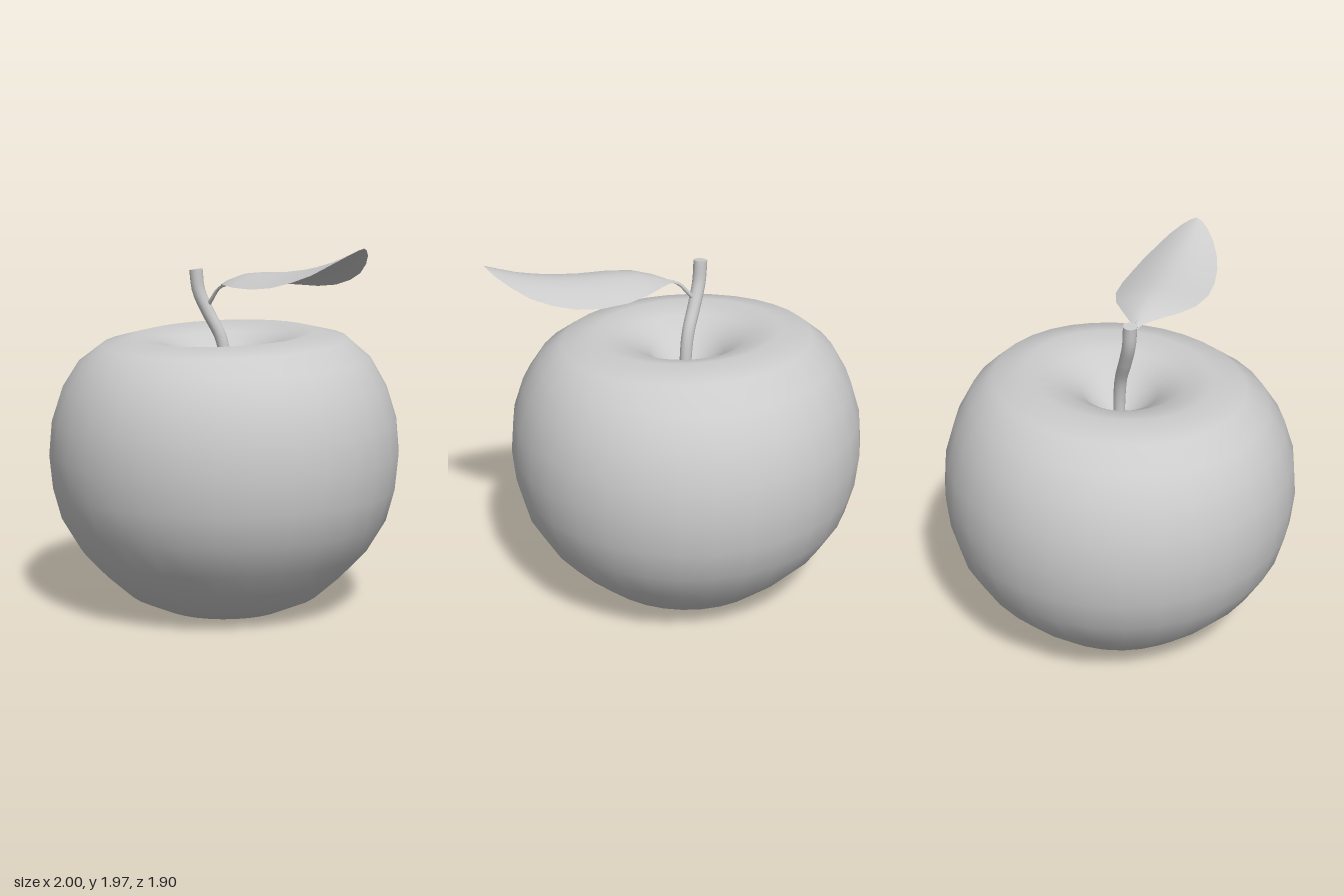
import * as THREE from 'three';

const V = (x, y, z) => new THREE.Vector3(x, y, z);
const grey = new THREE.MeshStandardMaterial({ color: 0xcccccc });
const greyThin = new THREE.MeshStandardMaterial({ color: 0xcccccc, side: THREE.DoubleSide });

function part(name, geometry, material = grey) {
  const mesh = new THREE.Mesh(geometry, material);
  mesh.name = name;
  return mesh;
}

// Lathed fruit with a dimple at each end; the crown tilts up towards the back.
function fruitGeometry() {
  const profile = [
    [0, 0.12], [0.08, 0.1], [0.2, 0.035], [0.365, 0], [0.53, 0.075], [0.67, 0.2],
    [0.79, 0.33], [0.89, 0.5], [0.935, 0.67], [0.952, 0.85], [0.935, 1.035],
    [0.88, 1.205], [0.79, 1.355], [0.665, 1.455], [0.49, 1.495], [0.33, 1.455],
    [0.2, 1.38], [0.1, 1.26], [0, 1.2],
  ].map(([r, y]) => new THREE.Vector2(r, y));
  const geo = new THREE.LatheGeometry(profile, 32);
  const p = geo.attributes.position;
  for (let i = 0; i < p.count; i++) {
    const y = p.getY(i);
    const amount = THREE.MathUtils.clamp((y - 0.85) / 0.65, 0, 1) ** 3;
    p.setY(i, y - amount * (0.07 * p.getZ(i) + 0.02 * p.getX(i)));
  }
  geo.translate(-0.05, 0, 0);
  return geo;
}

// Tube whose radius runs from r0 to r1 along the curve, optionally capped at its end.
function taperedTube(points, r0, r1, steps, sides) {
  const curve = new THREE.CatmullRomCurve3(points);
  const geo = new THREE.TubeGeometry(curve, steps, 1, sides);
  const p = geo.attributes.position;
  const v = V(0, 0, 0);
  for (let i = 0; i < p.count; i++) {
    const t = Math.floor(i / (sides + 1)) / steps;
    const c = curve.getPointAt(t);
    v.fromBufferAttribute(p, i).sub(c).multiplyScalar(r0 + (r1 - r0) * t).add(c);
    p.setXYZ(i, v.x, v.y, v.z);
  }
  return geo;
}

// Leaf blade: stations along x give midrib height, half width and droop of the edges.
function leafGeometry() {
  const stations = [
    [-0.03, 1.735, 0.008, 0], [0.03, 1.765, 0.035, 0.008], [0.1, 1.797, 0.1, 0.03],
    [0.2, 1.825, 0.18, 0.055], [0.32, 1.835, 0.228, 0.072], [0.47, 1.84, 0.245, 0.08],
    [0.6, 1.855, 0.238, 0.083], [0.72, 1.877, 0.215, 0.075], [0.82, 1.902, 0.178, 0.062],
    [0.9, 1.93, 0.13, 0.04], [0.96, 1.952, 0.075, 0.018], [0.99, 1.965, 0.03, 0.004],
    [1.0, 1.97, 0.002, 0],
  ];
  const across = 10;
  const geo = new THREE.PlaneGeometry(1, 1, across, stations.length - 1);
  const p = geo.attributes.position;
  stations.forEach(([x, y, half, droop], row) => {
    for (let k = 0; k <= across; k++) {
      const s = (2 * k) / across - 1;
      p.setXYZ(row * (across + 1) + k, x, y - droop * Math.abs(s) ** 1.7, 0.063 - half * s);
    }
  });
  // Reverse the winding so that the upper side is the front.
  const n = geo.index;
  for (let i = 0; i < n.count; i += 3) {
    const b = n.getX(i + 1);
    n.setX(i + 1, n.getX(i + 2));
    n.setX(i + 2, b);
  }
  geo.computeVertexNormals();
  // Keep the upper side facing up whichever way the rows run.
  if (geo.attributes.normal.getY(5 * (across + 1) + across / 2) < 0) {
    for (let i = 0; i < n.count; i += 3) {
      const b = n.getX(i + 1);
      n.setX(i + 1, n.getX(i + 2));
      n.setX(i + 2, b);
    }
    geo.computeVertexNormals();
  }
  return geo;
}

export function createModel() {
  const model = new THREE.Group();
  model.name = 'apple';

  model.add(part('fruit', fruitGeometry()));

  // Small bud in the underside dimple
  const calyx = part('calyx', new THREE.SphereGeometry(0.08, 16, 10));
  calyx.scale.y = 0.65;
  calyx.position.set(-0.05, 0.1, 0);
  model.add(calyx);

  // Bent stem with a flat cut end
  const stemPath = [
    V(-0.045, 1.17, -0.005), V(-0.045, 1.33, -0.005), V(-0.065, 1.47, 0.012),
    V(-0.115, 1.6, 0.055), V(-0.155, 1.72, 0.09), V(-0.166, 1.835, 0.1),
  ];
  model.add(part('stem', taperedTube(stemPath, 0.031, 0.037, 20, 12)));
  const end = new THREE.CatmullRomCurve3(stemPath);
  const cap = part('stemEnd', new THREE.CircleGeometry(0.037, 12));
  cap.position.copy(end.getPointAt(1));
  cap.quaternion.setFromUnitVectors(V(0, 0, 1), end.getTangentAt(1));
  model.add(cap);

  // Leaf on a thin stalk
  model.add(part('leafStalk', taperedTube([
    V(-0.115, 1.64, 0.06), V(-0.075, 1.685, 0.062), V(-0.03, 1.733, 0.063), V(0.06, 1.772, 0.063),
  ], 0.012, 0.006, 10, 8)));
  model.add(part('leaf', leafGeometry(), greyThin));

  return model;
}
